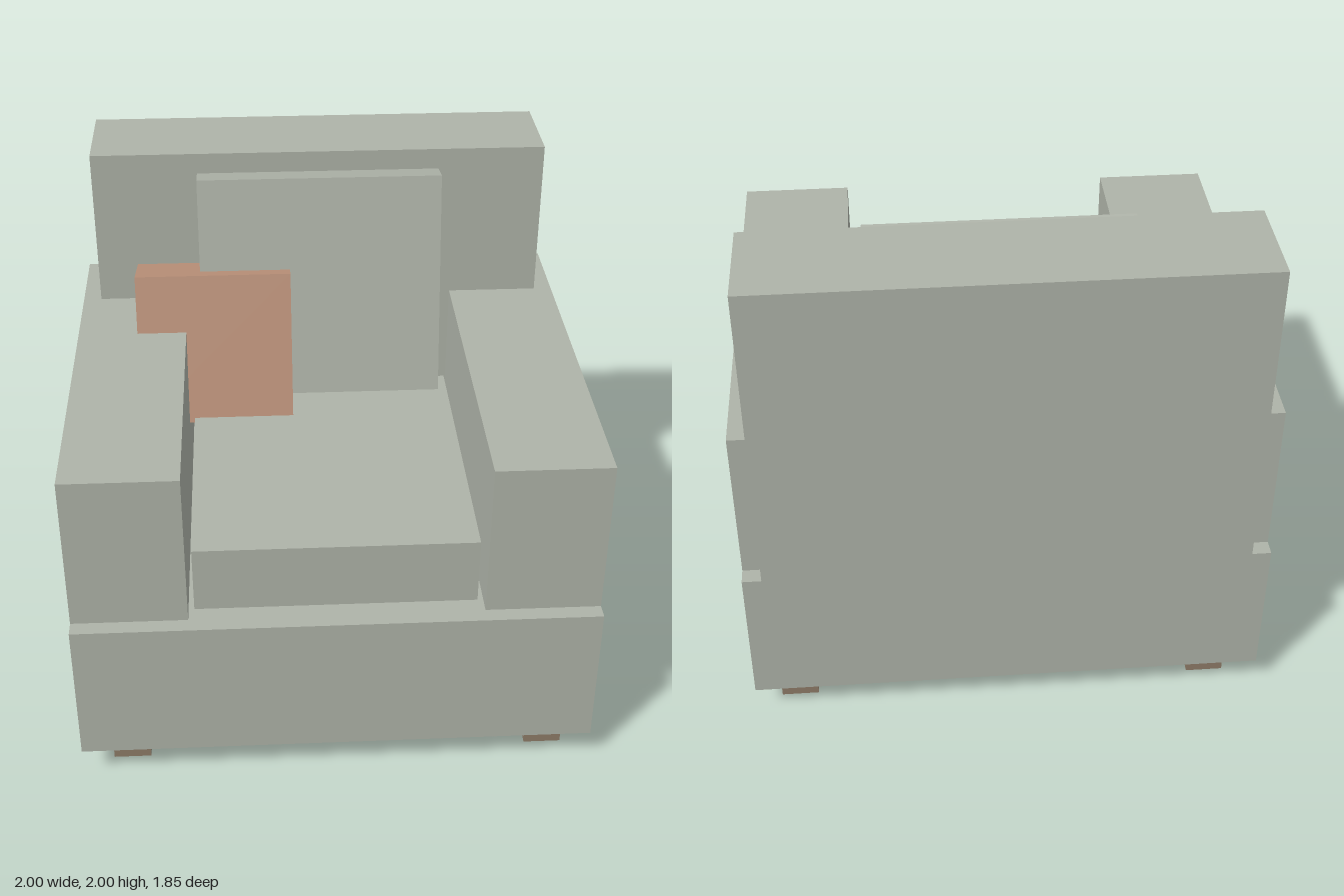
import * as THREE from 'three';

export function createModel() {
  const model = new THREE.Group();
  model.name = 'armchair';

  const material = (name, color) => {
    const m = new THREE.MeshStandardMaterial({ color });
    m.name = name;
    return m;
  };
  const fabric = material('sageFabric', 0xaeb3a8);
  const terracotta = material('terracottaFabric', 0xbd937b);
  const wood = material('brownWood', 0x8d7b67);

  // Box given by its extents along each axis
  function block(name, mat, [x0, x1], [y0, y1], [z0, z1]) {
    const mesh = new THREE.Mesh(new THREE.BoxGeometry(x1 - x0, y1 - y0, z1 - z0), mat);
    mesh.position.set((x0 + x1) / 2, (y0 + y1) / 2, (z0 + z1) / 2);
    mesh.name = name;
    model.add(mesh);
  }

  // Cushion leaning back around its lower front edge
  function leaningCushion(name, mat, [x0, x1], y, z, height, depth, angle) {
    const geometry = new THREE.BoxGeometry(x1 - x0, height, depth);
    geometry.translate(0, height / 2, -depth / 2);
    const mesh = new THREE.Mesh(geometry, mat);
    mesh.position.set((x0 + x1) / 2, y, z);
    mesh.rotation.x = -angle;
    mesh.name = name;
    model.add(mesh);
  }

  // Frame
  block('base', fabric, [-1, 1], [0.13, 0.72], [-0.925, 0.925]);
  block('backrest', fabric, [-0.927, 0.927], [0.72, 2], [-0.925, -0.53]);
  block('leftArm', fabric, [0.56, 1], [0.72, 1.35], [-0.863, 0.863]);
  block('rightArm', fabric, [-1, -0.56], [0.72, 1.35], [-0.863, 0.863]);

  // Cushions
  block('seatCushion', fabric, [-0.538, 0.538], [0.72, 0.99], [-0.42, 0.8]);
  leaningCushion('backCushion', fabric, [-0.497, 0.493], 1.025, -0.25, 0.925, 0.24, 0.174);
  leaningCushion('throwPillow', terracotta, [-0.76, -0.128], 0.97, -0.125, 0.627, 0.237, 0.236);

  // Legs
  const half = 0.073;
  for (const [side, x] of [['Left', 0.832], ['Right', -0.814]]) {
    for (const [end, z] of [['front', 0.752], ['back', -0.765]]) {
      block(`${end}${side}Leg`, wood, [x - half, x + half], [0, 0.13], [z - half, z + half]);
    }
  }

  return model;
}
